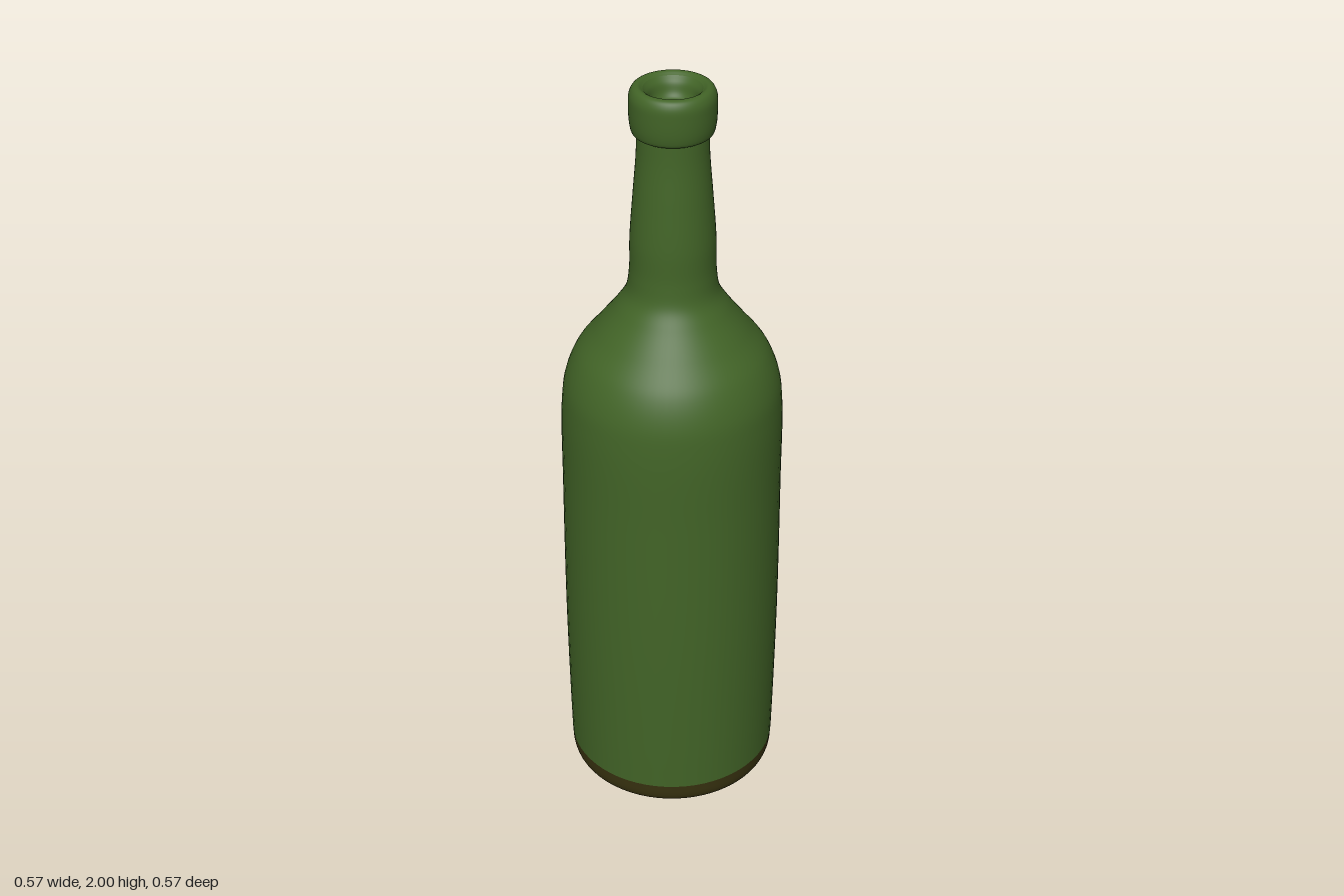
import * as THREE from 'three';

const SEGMENTS = 64;

// Smooth a short [radius, height] profile into a turned surface that leans slightly back toward the top
function turned(name, points, steps, material) {
  const curve = new THREE.CatmullRomCurve3(
    points.map(([r, y]) => new THREE.Vector3(r, y, 0)), false, 'centripetal');
  const profile = curve.getPoints(steps).map(p => new THREE.Vector2(Math.max(p.x, 0), p.y));
  const geometry = new THREE.LatheGeometry(profile, SEGMENTS);
  const pos = geometry.attributes.position;
  for (let i = 0; i < pos.count; i++) {
    const lean = THREE.MathUtils.smoothstep(pos.getY(i), 0.9, 1.6);
    pos.setZ(i, pos.getZ(i) + 0.002 - 0.011 * lean);
  }
  const mesh = new THREE.Mesh(geometry, material);
  mesh.name = name;
  return mesh;
}

export function createModel() {
  const glass = new THREE.MeshStandardMaterial({ color: 0x426427 });
  glass.name = 'green glass';
  const dark = new THREE.MeshStandardMaterial({ color: 0x383210 });
  dark.name = 'dark olive base';

  const bottle = new THREE.Group();
  bottle.name = 'bottle';

  // Flat underside and rounded foot
  bottle.add(turned('underside', [[0, 0.006], [0.13, 0.004], [0.25, 0]], 6, dark));
  bottle.add(turned('foot', [[0.25, 0], [0.266, 0.006], [0.275, 0.022], [0.279, 0.06]], 12, dark));

  // Straight body, sloping shoulder and tapered neck
  bottle.add(turned('bodyAndNeck', [
    [0.279, 0.06], [0.282, 0.2], [0.286, 0.5], [0.285, 0.9], [0.283, 1.13],
    [0.273, 1.21], [0.245, 1.28], [0.195, 1.345], [0.145, 1.41], [0.118, 1.455],
    [0.109, 1.51], [0.107, 1.6], [0.098, 1.72], [0.09, 1.82], [0.088, 1.885],
  ], 110, glass));

  // Rounded collar around the mouth
  bottle.add(turned('lip', [
    [0.087, 1.878], [0.098, 1.882], [0.104, 1.9], [0.107, 1.95],
    [0.105, 1.98], [0.096, 1.996], [0.084, 2], [0.072, 1.993],
  ], 40, glass));

  // Shallow sunken mouth
  bottle.add(turned('mouth', [
    [0.072, 1.993], [0.06, 1.978], [0.052, 1.955], [0.042, 1.944], [0, 1.94],
  ], 20, glass));

  return bottle;
}
